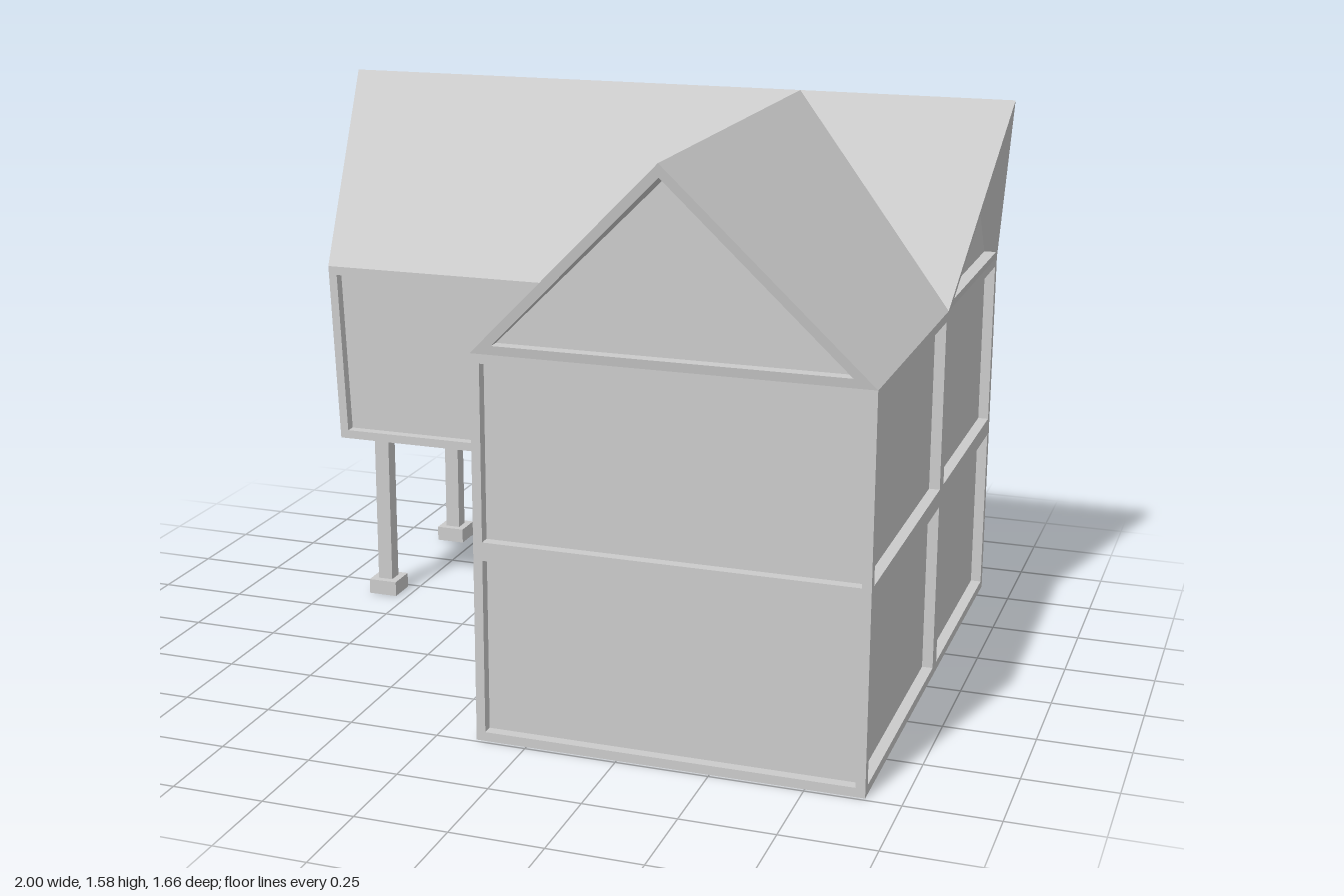
import * as THREE from 'three';

const material = new THREE.MeshStandardMaterial({ color: 0xcccccc, flatShading: true });
const V = (x, y, z) => new THREE.Vector3(x, y, z);

// Main levels and plan lines
const FLOOR = 0.5275, EAVE = 1.052, RIDGE = 1.578;
const LEFT = 0.905, RIGHT = -0.14, FRONT = 0.74, BACK = -0.83;
const WING_END = -0.905, WING_EAVE = -0.928, WING_FRONT = -0.05, SPLIT = -0.1;
const RIDGE_X = 0.385, RIDGE_Z = -0.455;
const FRAME = 0.025, RECESS = 0.03;

// Mesh from flat convex polygons, corners counter-clockwise seen from outside
function polygons(name, faces) {
  const pts = [];
  for (const f of faces)
    for (let i = 1; i < f.length - 1; i++) pts.push(f[0], f[i], f[i + 1]);
  const geometry = new THREE.BufferGeometry().setFromPoints(pts);
  geometry.computeVertexNormals();
  const mesh = new THREE.Mesh(geometry, material);
  mesh.name = name;
  return mesh;
}

// Corners moved inwards so that a border of even width remains
function inset(corners, width) {
  const n = corners.length;
  return corners.map((p, i) => {
    const a = corners[(i + n - 1) % n].clone().sub(p).normalize();
    const b = corners[(i + 1) % n].clone().sub(p).normalize();
    const sine = Math.sin(a.angleTo(b));
    return p.clone().addScaledVector(a.add(b), width / sine);
  });
}

// Frame with an upright panel set back behind it; the first edge is the base
function framedPanel(name, outer) {
  const n = outer.length;
  const inner = inset(outer, FRAME);
  const out = outer[1].clone().sub(outer[0]).cross(V(0, 1, 0)).normalize();
  const depth = out.dot(outer[0]) - RECESS;
  const back = inner.map((p) => p.clone().addScaledVector(out, depth - out.dot(p)));
  const faces = [back];
  for (let i = 0; i < n; i++) {
    const j = (i + 1) % n;
    faces.push([outer[i], outer[j], inner[j], inner[i]]);
    faces.push([inner[i], inner[j], back[j], back[i]]);
  }
  return polygons(name, faces);
}

// Rectangular wall bay between two plan points, left to right seen from outside
const bay = (name, [x0, z0], [x1, z1], y0, y1) =>
  framedPanel(name, [V(x0, y0, z0), V(x1, y0, z1), V(x1, y1, z1), V(x0, y1, z0)]);

export function createModel() {
  const house = new THREE.Group();
  house.name = 'house';

  // Two-storey walls
  for (const [floor, y0, y1] of [['lower', 0, FLOOR], ['upper', FLOOR, EAVE]]) {
    house.add(
      bay(floor + 'FrontWall', [RIGHT, FRONT], [LEFT, FRONT], y0, y1),
      bay(floor + 'LeftWallFront', [LEFT, FRONT], [LEFT, SPLIT], y0, y1),
      bay(floor + 'LeftWallBack', [LEFT, SPLIT], [LEFT, BACK], y0, y1),
      bay(floor + 'BackWall', [LEFT, BACK], [RIGHT, BACK], y0, y1),
      bay(floor + 'RightWallFront', [RIGHT, WING_FRONT], [RIGHT, FRONT], y0, y1)
    );
  }

  // Entrance wall beneath the wing, with two uprights
  house.add(bay('entranceWall', [RIGHT, BACK], [RIGHT, WING_FRONT], 0, FLOOR));
  for (const z of [-0.61, -0.41]) {
    const upright = new THREE.Mesh(new THREE.BoxGeometry(RECESS, FLOOR - 2 * FRAME, 0.02), material);
    upright.position.set(RIGHT + RECESS / 2, FLOOR / 2, z);
    upright.name = 'entranceUpright';
    house.add(upright);
  }

  // Raised wing, its end wall leaning slightly outwards
  house.add(
    framedPanel('wingFrontWall', [
      V(WING_END, FLOOR, WING_FRONT), V(RIGHT, FLOOR, WING_FRONT),
      V(RIGHT, EAVE, WING_FRONT), V(WING_EAVE, EAVE, WING_FRONT)]),
    framedPanel('wingBackWall', [
      V(RIGHT, FLOOR, BACK), V(WING_END, FLOOR, BACK),
      V(WING_EAVE, EAVE, BACK), V(RIGHT, EAVE, BACK)]),
    framedPanel('wingEndWall', [
      V(WING_END, FLOOR, BACK), V(WING_END, FLOOR, WING_FRONT),
      V(WING_EAVE, EAVE, WING_FRONT), V(WING_EAVE, EAVE, BACK)])
  );

  // Undersides
  house.add(
    polygons('baseUnderside', [[
      V(RIGHT, 0, BACK), V(LEFT, 0, BACK), V(LEFT, 0, FRONT), V(RIGHT, 0, FRONT)]]),
    polygons('wingUnderside', [[
      V(WING_END, FLOOR, BACK), V(RIGHT, FLOOR, BACK),
      V(RIGHT, FLOOR, WING_FRONT), V(WING_END, FLOOR, WING_FRONT)]])
  );

  // Gables lean out to the ridge ends; their panels stay upright
  const frontPeak = V(RIDGE_X, RIDGE, 0.83);
  const leftPeak = V(1, RIDGE, RIDGE_Z);
  const rightPeak = V(-1, RIDGE, -0.44);
  const crossing = V(RIDGE_X, RIDGE, RIDGE_Z);
  const eave = (x, z) => V(x, EAVE, z);
  house.add(
    framedPanel('frontGable', [eave(RIGHT, FRONT), eave(LEFT, FRONT), frontPeak]),
    framedPanel('leftGable', [eave(LEFT, SPLIT), eave(LEFT, BACK), leftPeak]),
    framedPanel('rightGable', [eave(WING_EAVE, BACK), eave(WING_EAVE, WING_FRONT), rightPeak])
  );

  // Crossing roofs
  house.add(
    polygons('crossRoof', [
      [eave(LEFT, BACK), eave(WING_EAVE, BACK), rightPeak, crossing, leftPeak],
      [eave(WING_EAVE, WING_FRONT), eave(RIGHT, WING_FRONT), crossing, rightPeak],
      [eave(LEFT, SPLIT), leftPeak, crossing]]),
    polygons('frontRoof', [
      [eave(RIGHT, WING_FRONT), eave(RIGHT, FRONT), frontPeak, crossing],
      [eave(LEFT, FRONT), eave(LEFT, SPLIT), crossing, frontPeak]])
  );

  // Posts carrying the wing, on hollow square footings
  const square = (path, r) => path.setFromPoints(
    [[-r, -r], [r, -r], [r, r], [-r, r]].map(([x, y]) => new THREE.Vector2(x, y)));
  const footingShape = square(new THREE.Shape(), 0.044);
  footingShape.holes.push(square(new THREE.Path(), 0.021));
  const footingHeight = 0.045;
  const footingGeometry = new THREE.ExtrudeGeometry(footingShape, { depth: footingHeight, bevelEnabled: false });
  footingGeometry.rotateX(-Math.PI / 2);
  const postHeight = FLOOR - footingHeight;
  for (const z of [-0.71, -0.19]) {
    const post = new THREE.Mesh(new THREE.BoxGeometry(0.045, postHeight, 0.045), material);
    post.position.y = footingHeight + postHeight / 2;
    post.name = 'post';
    const footing = new THREE.Mesh(footingGeometry, material);
    footing.name = 'footing';
    const support = new THREE.Group();
    support.name = 'wingSupport';
    support.add(post, footing);
    support.position.set(-0.829, 0, z);
    house.add(support);
  }

  return house;
}
